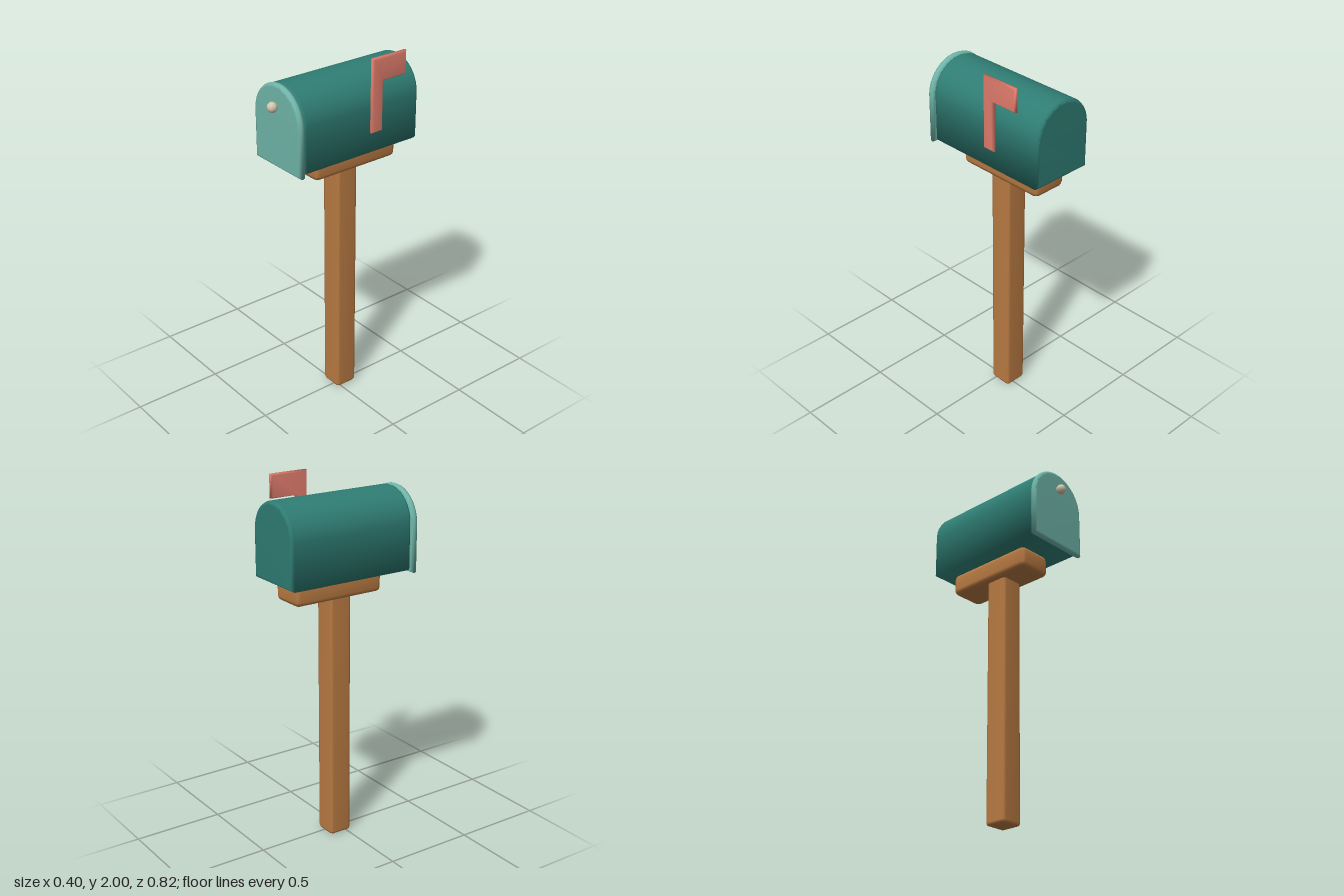
import * as THREE from 'three';
import { mergeVertices } from 'three/addons/utils/BufferGeometryUtils.js';
import { RoundedBoxGeometry } from 'three/addons/geometries/RoundedBoxGeometry.js';

const CX = -0.015; // centre line of post and box

// Share vertices so the bevelled edges shade softly.
function soften(geometry) {
  geometry.deleteAttribute('uv');
  geometry.deleteAttribute('normal');
  const g = mergeVertices(geometry, 1e-4);
  g.computeVertexNormals();
  return g;
}

// Bevelled extrusion filling z from 0 to depth; the shape is already inset by the bevel.
function bevelled(shape, depth, bevel, bevelSegments) {
  const g = new THREE.ExtrudeGeometry(shape, {
    depth: depth - 2 * bevel, bevelThickness: bevel, bevelSize: bevel, bevelSegments, curveSegments: 20,
  });
  return soften(g.translate(0, 0, bevel));
}

// Straight sides with a half-round top, inset by the bevel.
function archShape(halfWidth, bottom, top, inset) {
  const r = halfWidth - inset;
  const spring = top - halfWidth;
  const s = new THREE.Shape();
  s.moveTo(-r, bottom + inset);
  s.lineTo(r, bottom + inset);
  s.lineTo(r, spring);
  s.absarc(0, spring, r, 0, Math.PI, false);
  s.closePath();
  return s;
}

export function createModel() {
  const group = new THREE.Group();
  const add = (name, geometry, color, x, y, z) => {
    const mesh = new THREE.Mesh(geometry, new THREE.MeshStandardMaterial({ color }));
    mesh.name = name;
    mesh.position.set(x, y, z);
    group.add(mesh);
    return mesh;
  };
  const wood = 0xb87a42;

  // Post and the plank that carries the box
  add('post', soften(new RoundedBoxGeometry(0.13, 1.4, 0.13, 1, 0.018)), wood, CX, 0.7, -0.04);
  add('supportPlank', soften(new RoundedBoxGeometry(0.2, 0.12, 0.53, 1, 0.026)), wood, CX, 1.43, -0.07);

  // Arched box and its slightly larger door
  add('boxBody', bevelled(archShape(0.176, 1.485, 1.91, 0.016), 0.737, 0.016, 2), 0x2f7d74, CX, 0, -0.412);
  add('door', bevelled(archShape(0.187, 1.467, 1.912, 0.014), 0.036, 0.014, 2), 0x6fb5a8, CX, 0, 0.325);

  // Door knob
  add('doorKnob', new THREE.SphereGeometry(0.028, 8, 6), 0xd6c8b0, CX, 1.8, 0.385);

  // Raised L-shaped flag on the left side; shape x runs towards the back
  const b = 0.009;
  const flag = new THREE.Shape([
    [0.075 + b, 1.605 + b], [0.145 - b, 1.605 + b], [0.145 - b, 1.873 + b],
    [0.295 - b, 1.873 + b], [0.295 - b, 2 - b], [0.075 + b, 2 - b],
  ].map(([u, v]) => new THREE.Vector2(u, v)));
  add('signalFlag', bevelled(flag, 0.028, b, 1), 0xe07c6c, 0.172, 0, 0).rotation.y = Math.PI / 2;

  return group;
}
